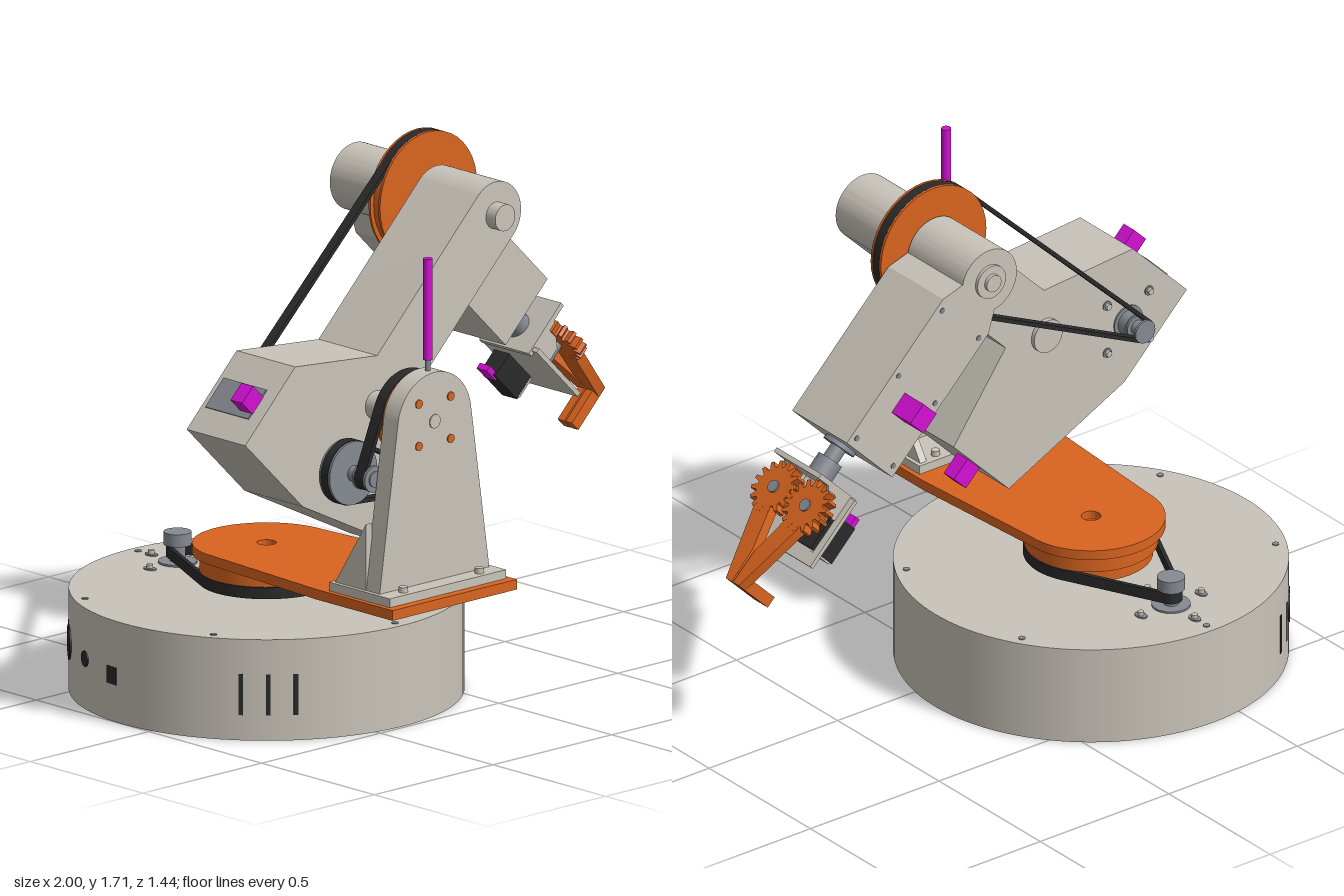
import * as THREE from 'three';
import { toCreasedNormals } from 'three/addons/utils/BufferGeometryUtils.js';

const mat = (name, color) => Object.assign(new THREE.MeshStandardMaterial({ color }), { name });
const M = {
  shell: mat('warm grey', 0xc9c4ba), orange: mat('orange', 0xd9641f), rubber: mat('black', 0x2a2a2a),
  magenta: mat('magenta', 0xd410d4), steel: mat('steel', 0x858a91),
};

function add(parent, name, geo, m, x = 0, y = 0, z = 0) {
  const mesh = new THREE.Mesh(geo, m);
  mesh.name = name;
  mesh.position.set(x, y, z);
  parent.add(mesh);
  return mesh;
}
// Box given by its limits on each axis
const box = (p, name, m, [x0, x1], [y0, y1], [z0, z1]) =>
  add(p, name, new THREE.BoxGeometry(x1 - x0, y1 - y0, z1 - z0), m, (x0 + x1) / 2, (y0 + y1) / 2, (z0 + z1) / 2);
// Cylinders along z, y and x
const cylZ = (p, name, m, r, x, y, z0, z1) =>
  add(p, name, new THREE.CylinderGeometry(r, r, z1 - z0, 40).rotateX(Math.PI / 2), m, x, y, (z0 + z1) / 2);
const cylY = (p, name, m, r, x, z, y0, y1, seg = 40) =>
  add(p, name, new THREE.CylinderGeometry(r, r, y1 - y0, seg), m, x, (y0 + y1) / 2, z);
const cylX = (p, name, m, r, y, z, x0, x1) =>
  add(p, name, new THREE.CylinderGeometry(r, r, x1 - x0, 32).rotateZ(Math.PI / 2), m, (x0 + x1) / 2, y, z);
const extrude = (shape, depth) =>
  toCreasedNormals(new THREE.ExtrudeGeometry(shape, { depth, bevelEnabled: false, curveSegments: 40 }), 0.4);
const poly = pts => new THREE.Shape(pts.map(p => new THREE.Vector2(...p)));

// Belt loop around two wheels, in the local xy plane from the origin to (d, 0)
function beltGeo(r1, r2, d, width, t = 0.013) {
  const trace = (path, a, b) => {
    const k = Math.acos((a - b) / d);
    path.absarc(0, 0, a, k, 2 * Math.PI - k, false);
    path.absarc(d, 0, b, -k, k, false);
    path.closePath();
    return path;
  };
  const s = trace(new THREE.Shape(), r1, r2);
  s.holes.push(trace(new THREE.Path(), r1 - t, r2 - t));
  return extrude(s, width);
}
function beltZ(p, name, [x1, y1], r1, [x2, y2], r2, z0, z1) {
  const d = Math.hypot(x2 - x1, y2 - y1);
  add(p, name, beltGeo(r1, r2, d, z1 - z0), M.rubber, x1, y1, z0).rotation.z = Math.atan2(y2 - y1, x2 - x1);
}
// Flanged wheel along z
function wheel(p, name, m, r, x, y, z0, z1) {
  cylZ(p, name + 'Core', m, r - 0.014, x, y, z0, z1);
  cylZ(p, name + 'RearFlange', m, r, x, y, z0 - 0.008, z0);
  cylZ(p, name + 'FrontFlange', m, r, x, y, z1, z1 + 0.008);
}
function group(parent, name, x, y, z, rz = 0) {
  const g = new THREE.Group();
  g.name = name;
  g.position.set(x, y, z);
  g.rotation.z = rz;
  parent.add(g);
  return g;
}

const PX = -0.395, PY = 0.995, BZ = -0.115; // shoulder axis and turntable axis

function buildBase(root) {
  const g = group(root, 'base', PX, 0, BZ);
  cylY(g, 'baseDrum', M.shell, 0.605, 0, 0, 0, 0.32, 112);
  // Openings round the wall: angle from the front, width, height
  const slots = [-51, -43, -35, -145, -137].map(a => [a, 0.014, 0.13]);
  for (const [a, w, h] of [...slots, [-95, 0.045, 0.055]]) {
    const t = a * Math.PI / 180;
    add(g, 'wallSlot', new THREE.BoxGeometry(w, h, 0.006), M.rubber, 0.604 * Math.sin(t), 0.145, 0.604 * Math.cos(t)).rotation.y = t;
  }
  for (const [a, r] of [[-129, 0.055], [-110, 0.025]]) {
    const t = a * Math.PI / 180;
    add(g, 'wallHole', new THREE.CylinderGeometry(r, r, 0.008, 24).rotateX(Math.PI / 2), M.rubber,
      0.604 * Math.sin(t), 0.16, 0.604 * Math.cos(t)).rotation.y = t;
  }
  for (let i = 0; i < 6; i++) {
    const t = Math.PI + i * Math.PI / 3;
    cylY(g, 'lidScrew', M.steel, 0.011, 0.57 * Math.sin(t), 0.57 * Math.cos(t), 0.318, 0.323, 12);
  }
  // Turntable with its drive belt
  cylY(g, 'turntableHub', M.orange, 0.085, 0, 0, 0.32, 0.34);
  cylY(g, 'turntableCore', M.orange, 0.19, 0, 0, 0.335, 0.38);
  cylY(g, 'turntableDisc', M.orange, 0.205, 0, 0, 0.376, 0.425, 64);
  cylY(g, 'turntableNeck', M.orange, 0.18, 0, 0, 0.42, 0.435);
  add(g, 'turntableBelt', beltGeo(0.208, 0.035, 0.395, 0.036), M.rubber, 0, 0.375, 0)
    .rotation.set(Math.PI / 2, 0, -Math.PI / 2);
  cylY(g, 'motorMount', M.steel, 0.06, 0, -0.395, 0.32, 0.326);
  cylY(g, 'motorWheel', M.steel, 0.024, 0, -0.395, 0.32, 0.38);
  cylY(g, 'motorWheelCap', M.steel, 0.043, 0, -0.395, 0.378, 0.418);
  for (let i = 0; i < 4; i++) {
    const t = i * Math.PI / 2, x = 0.117 * Math.sin(t), z = -0.395 + 0.117 * Math.cos(t);
    const s = cylY(g, 'mountSlot', M.steel, 0.016, x, z, 0.319, 0.324, 16);
    s.scale.z = 1.5;
    cylY(g, 'mountScrew', M.shell, 0.01, x, z, 0.32, 0.336, 12);
  }
}

function buildTower(root) {
  const g = group(root, 'tower', PX, 0, 0);
  // Swinging carrier plate; shape y runs towards the back
  const s = new THREE.Shape();
  s.moveTo(-0.262, -0.72);
  s.lineTo(0.262, -0.72);
  s.lineTo(0.262, -0.38);
  s.lineTo(0.228, 0.115);
  s.absarc(0, 0.115, 0.228, 0, Math.PI, false);
  s.lineTo(-0.262, -0.38);
  const hole = new THREE.Path();
  hole.absarc(0, 0.115, 0.03, 0, Math.PI * 2, true);
  s.holes.push(hole);
  add(g, 'carrierPlate', extrude(s, 0.032).rotateX(-Math.PI / 2), M.orange, 0, 0.43, 0);
  box(g, 'towerFoot', M.shell, [-0.245, 0.245], [0.46, 0.49], [0.42, 0.69]);
  const u = new THREE.Shape();
  u.moveTo(-0.232, 0.48);
  u.lineTo(0.232, 0.48);
  u.lineTo(0.153, 1.02);
  u.absarc(0, PY, 0.155, 0.16, Math.PI - 0.16, false);
  add(g, 'towerPlate', extrude(u, 0.065), M.shell, 0, 0, 0.565);
  const gusset = extrude(poly([[0, 0], [0.14, 0], [0, 0.215]]), 0.025).rotateY(Math.PI / 2);
  for (const x of [-0.232, 0.207]) add(g, 'gusset', gusset, M.shell, x, 0.485, 0.57);
  for (const x of [-0.16, 0.16]) for (const z of [0.45, 0.66])
    cylY(g, 'footBolt', M.shell, 0.014, x, z, 0.485, 0.507, 16);
  for (const x of [-0.067, 0.067]) for (const y of [-0.067, 0.067])
    cylZ(g, 'wheelScrew', M.orange, 0.014, x, PY + y, 0.6, 0.634);
  cylZ(g, 'axleEnd', M.shell, 0.022, 0, PY, 0.6, 0.634);
  cylY(g, 'aerialPin', M.steel, 0.008, 0, 0.6, 1.14, 1.19, 12);
  cylY(g, 'aerial', M.magenta, 0.015, 0, 0.6, 1.185, 1.505, 20);
  // Shoulder wheel and axle
  cylZ(g, 'shoulderWheel', M.orange, 0.128, 0, PY, 0.505, 0.55);
  cylZ(g, 'shoulderFlange', M.orange, 0.142, 0, PY, 0.548, 0.568);
  cylZ(g, 'shoulderHub', M.orange, 0.037, 0, PY, 0.415, 0.51);
  cylZ(g, 'shoulderCollar', M.shell, 0.045, 0, PY, 0.365, 0.42);
}

function buildShoulderDrive(root) {
  const g = group(root, 'shoulderDrive', 0, 0, 0);
  const idler = [-0.575, 0.83], motor = [-0.27, 0.745];
  beltZ(g, 'upperBelt', [PX, PY], 0.143, idler, 0.04, 0.505, 0.547);
  beltZ(g, 'lowerBelt', idler, 0.102, motor, 0.036, 0.42, 0.452);
  wheel(g, 'idlerLarge', M.steel, 0.1, ...idler, 0.42, 0.452);
  wheel(g, 'idlerSmall', M.steel, 0.042, ...idler, 0.505, 0.547);
  cylZ(g, 'idlerShaft', M.steel, 0.025, ...idler, 0.365, 0.56);
  cylZ(g, 'idlerBearing', M.steel, 0.05, ...idler, 0.365, 0.405);
  wheel(g, 'motorWheel', M.steel, 0.038, ...motor, 0.42, 0.452);
  cylZ(g, 'motorCollar', M.steel, 0.045, ...motor, 0.365, 0.41);
}

function buildUpperArm(root) {
  const g = group(root, 'upperArm', PX, PY, 0, Math.PI / 4);
  const L = 0.714, r = 0.106;
  const s = new THREE.Shape();
  s.moveTo(-0.407, 0.371);
  for (const p of [[-0.405, 0.03], [-0.244, -0.445], [0.06, -0.445], [0.113, -r]]) s.lineTo(...p);
  s.absarc(L, 0, r, -Math.PI / 2, Math.PI / 2, false);
  s.lineTo(0.113, r);
  s.lineTo(-0.11, 0.371);
  add(g, 'armHousing', extrude(s, 0.26), M.shell, 0, 0, 0.11);
  cylZ(g, 'elbowAxle', M.shell, 0.042, L, 0, 0.36, 0.412);
  cylZ(g, 'shoulderBoss', M.shell, 0.055, 0, 0, 0.095, 0.115);
  cylZ(g, 'elbowSpacer', M.steel, 0.04, L, 0, 0.07, 0.115);
  box(g, 'plugRecess', M.steel, [-0.32, -0.21], [0.37, 0.375], [0.13, 0.32]);
  box(g, 'upperPlug', M.magenta, [-0.3, -0.235], [0.36, 0.432], [0.27, 0.322]);
  box(g, 'lowerPlug', M.magenta, [-0.125, -0.06], [-0.52, -0.43], [0.148, 0.2]);
  // Slotted motor mounts: front one for the shoulder, rear one for the elbow
  for (const [cx, cy, z] of [[-0.09, -0.265, 0.37], [-0.269, 0.184, 0.11]]) {
    cylZ(g, 'motorMount', M.steel, 0.055, cx, cy, z - 0.005, z + 0.005);
    for (let i = 0; i < 4; i++) {
      const t = i * Math.PI / 2, x = cx + 0.115 * Math.cos(t), y = cy + 0.115 * Math.sin(t);
      cylZ(g, 'mountSlot', M.steel, 0.016, x, y, z - 0.004, z + 0.004);
      cylZ(g, 'mountScrew', M.shell, 0.01, x, y, z - 0.014, z + 0.014);
    }
  }
}

function buildElbowDrive(root) {
  const g = group(root, 'elbowDrive', 0, 0, 0);
  const elbow = [0.11, 1.5], motor = [-0.715, 0.935];
  wheel(g, 'elbowWheel', M.orange, 0.205, ...elbow, 0.029, 0.064);
  beltZ(g, 'elbowBelt', elbow, 0.204, motor, 0.04, 0.03, 0.063);
  wheel(g, 'motorWheel', M.steel, 0.038, ...motor, 0.03, 0.063);
  cylZ(g, 'motorCollar', M.steel, 0.042, ...motor, 0.07, 0.115);
}

function buildForearm(root) {
  const g = group(root, 'forearm', 0.11, 1.5, 0, -Math.PI / 4);
  const s = new THREE.Shape();
  s.moveTo(0.66, -0.125);
  s.lineTo(0.66, 0.125);
  s.lineTo(0.13, 0.125);
  s.lineTo(0.06, 0.088);
  s.absarc(0, 0, 0.106, 0.97, 2 * Math.PI - 0.97, false);
  s.lineTo(0.13, -0.125);
  add(g, 'forearmHousing', extrude(s, 0.27), M.shell, 0, 0, -0.255);
  cylZ(g, 'elbowBoss', M.shell, 0.055, 0, 0, -0.266, -0.25);
  cylZ(g, 'elbowAxleEnd', M.shell, 0.028, 0, 0, -0.278, -0.26);
  for (const x of [0.16, 0.4, 0.63]) for (const y of [-0.1, 0.1])
    cylZ(g, 'coverScrew', M.steel, 0.009, x, y, -0.258, -0.25);
  box(g, 'forearmPlug', M.magenta, [0.43, 0.502], [-0.036, 0.036], [-0.347, -0.25]);
  // Wrist shaft and gripper bracket
  cylX(g, 'wristBearing', M.steel, 0.055, 0, BZ, 0.655, 0.675);
  cylX(g, 'wristShaft', M.steel, 0.026, 0, BZ, 0.66, 0.79);
  cylX(g, 'wristCollar', M.steel, 0.042, 0, BZ, 0.72, 0.785);
  box(g, 'gripperBackPlate', M.shell, [0.78, 0.796], [-0.08, 0.112], [-0.225, -0.005]);
  box(g, 'gripperDeck', M.shell, [0.785, 1.03], [-0.067, -0.052], [-0.247, 0.017]);
  for (const z of [-0.225, -0.017]) {
    const web = poly([[0.79, -0.06], [0.87, -0.06], [0.87, 0], [0.79, 0.06]]);
    add(g, 'gripperSideWeb', extrude(web, 0.012), M.shell, 0, 0, z);
  }
  box(g, 'servo', M.rubber, [0.852, 0.982], [-0.15, -0.035], [-0.222, -0.155]);
  box(g, 'servoFlange', M.shell, [0.98, 0.988], [-0.14, -0.05], [-0.222, -0.155]);
  box(g, 'servoPlug', M.magenta, [0.82, 0.875], [-0.156, -0.136], [-0.21, -0.165]);
  // Two meshing gear fingers, mirrored
  for (const side of [1, -1]) {
    const f = group(g, 'gripperFinger', 0.884, 0, BZ + side * 0.078);
    const teeth = [], n = 16;
    for (let i = 0; i < n; i++)
      for (const [k, r] of [[-0.36, 0.066], [-0.16, 0.088], [0.16, 0.088], [0.36, 0.066]]) {
        const a = (i + k + (side > 0 ? 0 : 0.5)) * 2 * Math.PI / n;
        teeth.push([r * Math.cos(a), r * Math.sin(a)]);
      }
    add(f, 'gear', extrude(poly(teeth), 0.038).rotateX(Math.PI / 2), M.orange, 0, 0.06, 0);
    const blade = [[0, 0.04], [0.05, 0.036], [0.316, -0.046], [0.316, -0.075], [0.2, -0.073], [0.04, -0.03]];
    add(f, 'fingerBlade', extrude(poly(blade.map(([x, z]) => [x, z * side])), 0.037).rotateX(Math.PI / 2), M.orange, 0, 0.0595, 0);
    const zs = [-0.075 * side, -0.046 * side].sort((a, b) => a - b);
    box(f, 'fingerTip', M.orange, [0.278, 0.316], [-0.1, 0.058], zs);
    cylY(f, 'gearPin', M.steel, 0.02, 0, 0, -0.06, 0.066, 20);
  }
}

export function createModel() {
  const root = new THREE.Group();
  root.name = 'robotArm';
  for (const build of [buildBase, buildTower, buildShoulderDrive, buildUpperArm, buildElbowDrive, buildForearm]) build(root);
  return root;
}
